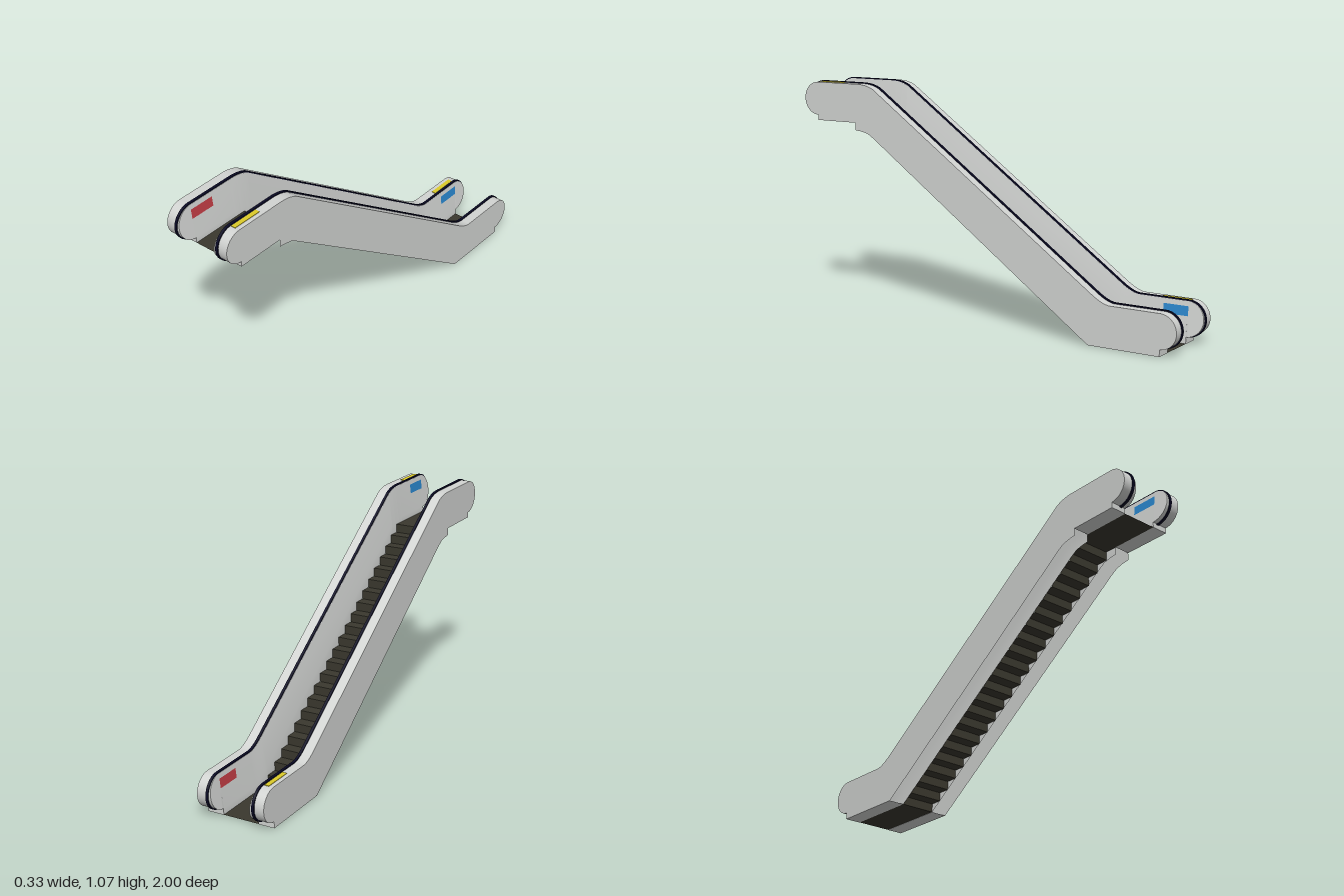
import * as THREE from 'three';
import { mergeGeometries } from 'three/addons/utils/BufferGeometryUtils.js';

const mat = (name, color) => {
  const m = new THREE.MeshStandardMaterial({ color, side: THREE.DoubleSide });
  m.name = name;
  return m;
};

const R = 0.078, END = 0.917, EPS = 1e-4;   // nose radius and centre
const HIGH = 0.988, LOW = 0.109;            // nose centre heights
const OUTER = 0.163, IN_LOW = 0.085, IN_TOP = 0.105;
const FOOT = -0.571, HEAD = 0.69, FLOOR = 0.885;

// Sheet through rows of [x, y, z] points
function sheet(rows) {
  const n = rows[0].length, index = [];
  for (let i = 0; i < rows.length - 1; i++)
    for (let j = 0; j < n - 1; j++) {
      const a = i * n + j, b = a + n;
      index.push(a, b, a + 1, b, b + 1, a + 1);
    }
  const g = new THREE.BufferGeometry();
  g.setAttribute('position', new THREE.Float32BufferAttribute(rows.flat(2), 3));
  g.setIndex(index);
  g.computeVertexNormals();
  return g;
}

function arc(z, y, from, to, steps = 24) {
  return Array.from({ length: steps + 1 }, (_, i) => {
    const t = from + (to - from) * i / steps;
    return [z + R * Math.cos(t), y + R * Math.sin(t)];
  });
}

function bend(a, b, c) {
  const v = p => new THREE.Vector2(...p);
  return new THREE.QuadraticBezierCurve(v(a), v(b), v(c)).getPoints(8).map(p => [p.x, p.y]);
}

// Height of a [z, y] polyline at z
function heightAt(line, z) {
  for (let i = 1; i < line.length; i++) {
    const [z0, y0] = line[i - 1], [z1, y1] = line[i];
    if (z <= z1) return y0 + (y1 - y0) * Math.max(0, (z - z0) / (z1 - z0));
  }
  return line[line.length - 1][1];
}

export function createModel() {
  const panelMat = mat('panel grey', 0xd2d4d2);
  const stepMat = mat('step dark olive', 0x3a382e);
  const railMat = mat('handrail navy black', 0x0a0a26);
  const yellow = mat('yellow plate', 0xdccb2a);
  const red = mat('red plate', 0xc03c44);
  const blue = mat('blue plate', 0x2a86cc);

  const model = new THREE.Group();
  model.name = 'escalator';
  const add = (parent, name, geometry, material) => {
    const m = new THREE.Mesh(geometry, material);
    m.name = name;
    parent.add(m);
    return m;
  };

  // Side profile: crest of the balustrade, its lower edge and the full rim
  const crest = [
    [-END, LOW + R],
    ...bend([-0.68, LOW + R], [-0.645, LOW + R], [-0.59, 0.225]),
    ...bend([0.585, 1.045], [0.625, HIGH + R], [0.68, HIGH + R]),
    [END, HIGH + R]
  ];
  const base = [[-END, 0], [FOOT, 0], [0.587, 0.818], [0.62, 0.838], [0.655, 0.846],
    [HEAD, 0.85], [HEAD + EPS, FLOOR], [END, FLOOR]];
  const rim = [
    ...arc(-END, LOW, Math.PI * 1.5, Math.PI / 2),
    ...crest.slice(1, -1),
    ...arc(END, HIGH, Math.PI / 2, -Math.PI / 2)
  ];

  // Inner wall leans outward towards the top
  const inset = (z, y) => {
    const t = (y - heightAt(crest, z) + 2 * R) / (2 * R);
    return IN_LOW + (IN_TOP - IN_LOW) * THREE.MathUtils.clamp(t, 0, 1);
  };

  // Matched columns of the wall: bottom, foot of the lean, top
  const stations = [...rim, ...base, [END + EPS], [-END - EPS]].map(p => p[0]).sort((a, b) => a - b);
  const columns = stations.map(z => {
    const over = Math.abs(z) - END;
    if (over > EPS / 2) {
      const c = z > 0 ? HIGH : LOW, h = Math.sqrt(Math.max(0, R * R - over * over));
      return [z, c - h, c, c + h];
    }
    const top = heightAt(crest, z), low = heightAt(base, z);
    return [z, low, Math.max(low, top - 2 * R), top];
  });
  const wall = xOf => sheet(columns.map(([z, ...ys]) => ys.map(y => [xOf(z, y), y, z])));
  const flat = (x0, x1, a, b) => sheet([a, b].map(([z, y]) => [[x0, y, z], [x1, y, z]]));

  // Handrail: thin rectangular band along the rim
  function railGeometry() {
    const corners = [[0.106, -0.001], [0.106, 0.005], [0.118, 0.005], [0.118, -0.001]];
    const ring = rim.map(([z, y], i) => {
      const p = rim[Math.max(0, i - 1)], q = rim[Math.min(rim.length - 1, i + 1)];
      const dz = q[0] - p[0], dy = q[1] - p[1], l = Math.hypot(dz, dy);
      return corners.map(([x, o]) => [x, y + o * dz / l, z - o * dy / l]);
    });
    return mergeGeometries([0, 1, 2, 3].map(k => sheet(ring.map(c => [c[k], c[(k + 1) % 4]]))));
  }

  for (const s of [1, -1]) {
    const side = new THREE.Group();
    side.name = s > 0 ? 'leftBalustrade' : 'rightBalustrade';
    side.scale.x = s;
    model.add(side);
    add(side, 'outerWall', wall(() => OUTER), panelMat);
    add(side, 'innerWall', wall(inset), panelMat);
    add(side, 'topCover', sheet(rim.map(([z, y]) => [[inset(z, y), y, z], [OUTER, y, z]])), panelMat);
    add(side, 'landingBases', mergeGeometries([
      flat(IN_LOW, OUTER, [-END, LOW - R], [-END, 0]),
      flat(IN_LOW, OUTER, [-END, 0], [FOOT, 0]),
      flat(IN_LOW, OUTER, [END, HIGH - R], [END, FLOOR]),
      flat(IN_LOW, OUTER, [END, FLOOR], [HEAD, FLOOR])
    ]), panelMat);
    add(side, 'handrail', railGeometry(), railMat);

    // Yellow plate on the cover, coloured plates inside both ends
    const y0 = (s > 0 ? HIGH : LOW) + R;
    add(side, 'topPlate', new THREE.BoxGeometry(0.022, 0.003, 0.14), yellow)
      .position.set(0.132, y0 + 0.001, s * 0.85);
    for (const e of [1, -1]) {
      const top = (e > 0 ? HIGH : LOW) + R, z = e * 0.86;
      const plate = [top - 0.065, top - 0.022].map(y =>
        [[inset(z, y) - 0.002, y, z - 0.06], [inset(z, y) - 0.002, y, z + 0.06]]);
      add(side, 'innerPlate', sheet(plate), e * s > 0 ? blue : red);
    }
  }

  // Landings and stair band
  const W = IN_LOW, STEPS = 22;
  add(model, 'lowerLanding', flat(-W, W, [-END, 0.001], [FOOT, 0.001]), stepMat);
  add(model, 'upperLanding', flat(-W, W, [HEAD, FLOOR], [END, FLOOR]), stepMat);
  const run = (HEAD - FOOT) / STEPS, rise = FLOOR / STEPS, parts = [];
  for (let i = 0; i < STEPS; i++) {
    const z = FOOT + i * run, y = i * rise;
    parts.push(flat(-W, W, [z, y], [z, y + rise]), flat(-W, W, [z, y + rise], [z + run, y + rise]));
  }
  add(model, 'steps', mergeGeometries(parts), stepMat);

  return model;
}
